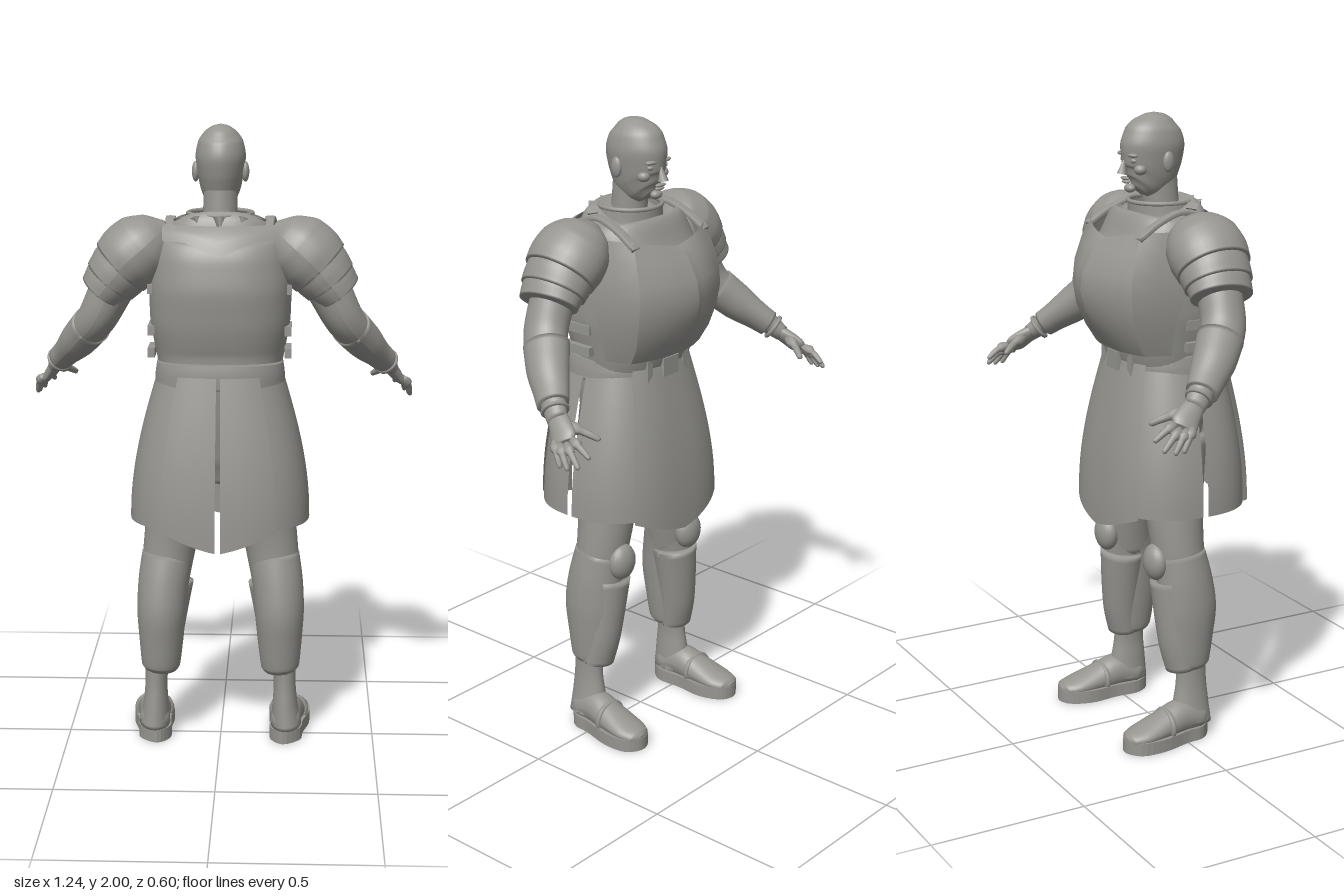
import * as THREE from 'three';

const grey = new THREE.MeshStandardMaterial({ color: 0x969590, side: THREE.DoubleSide });
grey.name = 'warm grey';
const X = new THREE.Vector3(1, 0, 0), Z = new THREE.Vector3(0, 0, 1);

function gridGeometry(pos, rows, cols, caps) {
  const idx = [];
  for (let i = 0; i < rows; i++) for (let j = 0; j < cols; j++) {
    const a = i * (cols + 1) + j, b = a + cols + 1;
    idx.push(a, a + 1, b + 1, a, b + 1, b);
  }
  if (caps) for (let j = 1; j < cols - 1; j++) {
    const e = rows * (cols + 1);
    idx.push(0, j + 1, j, e, e + j, e + j + 1);
  }
  const g = new THREE.BufferGeometry();
  g.setAttribute('position', new THREE.Float32BufferAttribute(pos, 3));
  g.setIndex(idx);
  g.computeVertexNormals();
  return g;
}

// Smooth sweep through sections [x, y, z, half size along ref, other half size]
function sweep(sections, { ref = X, power = 2, side = 1, cols = 32, steps = 6, caps = true } = {}) {
  const path = new THREE.CatmullRomCurve3(sections.map(p => new THREE.Vector3(p[0] * side, p[1], p[2])));
  const size = new THREE.CatmullRomCurve3(sections.map(p => new THREE.Vector3(p[3], p[4], 0)));
  const rows = (sections.length - 1) * steps, pos = [];
  const round = v => Math.sign(v) * Math.abs(v) ** (2 / power);
  for (let i = 0; i <= rows; i++) {
    const c = path.getPoint(i / rows), s = size.getPoint(i / rows), t = path.getTangent(i / rows);
    const u = ref.clone().addScaledVector(t, -t.dot(ref)).normalize();
    const v = t.clone().cross(u);
    for (let j = 0; j <= cols; j++) {
      const a = j / cols * Math.PI * 2;
      const p = c.clone().addScaledVector(u, s.x * round(Math.cos(a))).addScaledVector(v, s.y * round(Math.sin(a)));
      pos.push(p.x, p.y, p.z);
    }
  }
  return gridGeometry(pos, rows, cols, caps);
}

// Flared skirt panel between two angles in degrees (0 = +x, 90 = +z), bottom(k) gives the hem height
function skirtPanel(a0, a1, offset, bottom) {
  const pos = [], rows = 14, cols = 14;
  const round = v => Math.sign(v) * Math.abs(v) ** 0.8;
  for (let i = 0; i <= rows; i++) for (let j = 0; j <= cols; j++) {
    const v = i / rows, k = j / cols, a = THREE.MathUtils.degToRad(a0 + (a1 - a0) * k);
    const f = Math.sin(v * Math.PI / 2);
    pos.push((0.195 + 0.09 * f + offset) * round(Math.cos(a)),
      1.24 + (bottom(k) - 1.24) * v,
      0.055 - 0.005 * f + (0.162 + 0.07 * f + offset) * round(Math.sin(a)));
  }
  return gridGeometry(pos, rows, cols, false);
}

export function createModel() {
  const model = new THREE.Group();
  model.name = 'armouredFigure';
  const add = (name, geometry, x = 0, y = 0, z = 0) => {
    const m = new THREE.Mesh(geometry, grey);
    m.name = name;
    m.position.set(x, y, z);
    model.add(m);
    return m;
  };
  const ball = (name, x, y, z, sx, sy, sz) => add(name, new THREE.SphereGeometry(1, 20, 14), x, y, z).scale.set(sx, sy, sz);
  const box = (name, x, y, z, w, h, d) => add(name, new THREE.BoxGeometry(w, h, d), x, y, z);

  // Head, facing -z
  add('head', sweep([[0, 1.758, -0.03, 0.026, 0.032], [0, 1.775, -0.016, 0.048, 0.064], [0, 1.81, 0.004, 0.064, 0.088],
    [0, 1.85, 0.012, 0.072, 0.099], [0, 1.9, 0.016, 0.078, 0.105], [0, 1.95, 0.018, 0.069, 0.09],
    [0, 1.98, 0.02, 0.047, 0.06], [0, 1.995, 0.02, 0.024, 0.03], [0, 2, 0.02, 0.002, 0.002]]));
  add('neck', sweep([[0, 1.64, 0.05, 0.065, 0.068], [0, 1.72, 0.045, 0.054, 0.058], [0, 1.83, 0.035, 0.052, 0.06]]));
  const nose = add('nose', new THREE.ConeGeometry(0.017, 0.055, 8), 0, 1.843, -0.086);
  nose.rotation.x = 0.2;
  ball('upperLip', 0, 1.803, -0.081, 0.022, 0.006, 0.01);
  ball('lowerLip', 0, 1.792, -0.077, 0.019, 0.006, 0.01);
  ball('chin', 0, 1.771, -0.064, 0.022, 0.014, 0.016);
  for (const s of [-1, 1]) {
    ball('ear', s * 0.077, 1.855, 0.03, 0.012, 0.032, 0.019);
    ball('brow', s * 0.031, 1.876, -0.071, 0.025, 0.007, 0.014);
    ball('eye', s * 0.031, 1.859, -0.066, 0.014, 0.009, 0.012);
    ball('cheek', s * 0.043, 1.832, -0.05, 0.02, 0.017, 0.02);
  }

  // Torso with back plate
  add('torso', sweep([[0, 1.23, 0.045, 0.19, 0.15], [0, 1.3, 0.035, 0.203, 0.165], [0, 1.4, 0.035, 0.22, 0.185],
    [0, 1.5, 0.037, 0.222, 0.193], [0, 1.6, 0.043, 0.21, 0.175], [0, 1.66, 0.045, 0.19, 0.145],
    [0, 1.695, 0.05, 0.155, 0.11], [0, 1.71, 0.045, 0.09, 0.08]], { power: 2.5, cols: 48 }));

  // Keeled breastplate: [y, half width, corner z, keel z, top dip]
  const chest = [[1.66, 0.165, -0.115, -0.15, 0.035], [1.6, 0.18, -0.14, -0.19, 0], [1.53, 0.19, -0.16, -0.228, 0],
    [1.47, 0.192, -0.165, -0.24, 0], [1.4, 0.188, -0.155, -0.225, 0], [1.33, 0.175, -0.135, -0.182, 0], [1.275, 0.165, -0.105, -0.14, 0]];
  for (const s of [-1, 1]) {
    const front = [], flank = [];
    for (const [y, w, zc, zk, dip] of chest) {
      for (let j = 0; j <= 6; j++) {
        const k = j / 6;
        front.push(s * w * k, y - dip * (1 - k), zk + (zc - zk) * k - 0.012 * Math.sin(k * Math.PI));
      }
      flank.push(s * w, y, zc, s * (w + 0.026), y, zc + 0.065, s * (w + 0.03), y, 0.02);
    }
    if (s > 0) { add('breastplate', gridGeometry(front, 6, 6)); add('breastplateFlank', gridGeometry(flank, 6, 2)); }
    else for (const [n, p, c] of [['breastplate', front, 6], ['breastplateFlank', flank, 2]]) {
      const g = gridGeometry(p, 6, c);
      g.setIndex(Array.from(g.index.array).reverse());
      g.computeVertexNormals();
      add(n, g);
    }
    // Shoulder straps and side buckles
    add('shoulderStrap', sweep([[0.165, 1.64, -0.125, 0.016, 0.008], [0.16, 1.685, -0.05, 0.016, 0.008],
      [0.155, 1.71, 0.03, 0.016, 0.008], [0.15, 1.69, 0.11, 0.016, 0.008]], { side: s, power: 5, cols: 16 }));
    for (const y of [1.3, 1.37, 1.5]) box('sideBuckle', s * 0.213, y, 0.07, 0.022, 0.03, 0.11);
  }

  // Raised yoke on the upper back with a pointed lower edge
  const yoke = [];
  for (let i = 0; i <= 4; i++) for (let j = 0; j <= 24; j++) {
    const k = j / 12 - 1, x = 0.175 * k;
    const low = 1.61 + 0.045 * Math.min(1, Math.abs(k) * 1.6);
    const y = 1.7 + (low - 1.7) * i / 4;
    const depth = 0.165 + 0.062 * Math.sqrt((1.7 - y) / 0.09);
    yoke.push(x, y, depth - 0.05 * k * k);
  }
  add('backYoke', gridGeometry(yoke, 4, 24));

  // Collar with small points hanging from its rim
  add('collar', sweep([[0, 1.65, 0.045, 0.115, 0.105], [0, 1.69, 0.045, 0.108, 0.102], [0, 1.73, 0.043, 0.104, 0.1]], { caps: false }));
  const rim = add('collarRim', new THREE.TorusGeometry(0.1, 0.007, 8, 40), 0, 1.728, 0.043);
  rim.rotation.x = Math.PI / 2;
  for (let i = -2; i <= 2; i++) {
    const a = i * 0.55;
    const tooth = add('collarPoint', new THREE.ConeGeometry(0.024, 0.07, 4), Math.sin(a) * 0.122, 1.69, 0.043 + Math.cos(a) * 0.115);
    tooth.rotation.set(Math.PI - 0.45 * Math.cos(a), 0, 0.45 * Math.sin(a));
  }

  // Belt
  add('belt', sweep([[0, 1.2, 0.057, 0.205, 0.17], [0, 1.235, 0.057, 0.203, 0.172], [0, 1.268, 0.055, 0.198, 0.17]], { power: 2.4, cols: 48 }));
  box('beltBuckle', 0, 1.235, -0.118, 0.07, 0.06, 0.02);
  for (const s of [-1, 1]) box('beltLoop', s * 0.085, 1.235, -0.105, 0.025, 0.075, 0.02);

  // Skirt: side halves, pointed front, two split back tabs
  const hem = () => 0.765;
  for (const [a0, a1] of [[1, 70], [-56, -1], [110, 179], [181, 236]]) add('skirtSide', skirtPanel(a0, a1, 0, hem));
  add('skirtFront', skirtPanel(232, 308, 0.008, k => 0.7 + 0.06 * Math.abs(2 * k - 1)));
  add('backTab', skirtPanel(58, 89.3, 0.014, k => 0.76 - 0.06 * k));
  add('backTab', skirtPanel(90.7, 122, 0.014, k => 0.7 + 0.06 * k));
  add('hips', sweep([[0, 0.88, 0.03, 0.1, 0.09], [0, 0.96, 0.03, 0.18, 0.12], [0, 1.1, 0.04, 0.19, 0.14], [0, 1.22, 0.05, 0.185, 0.15]]));

  for (const s of [-1, 1]) {
    // Leg, knee guard and greave
    add('thigh', sweep([[0.115, 1, 0.03, 0.1, 0.105], [0.14, 0.8, 0.015, 0.096, 0.095], [0.165, 0.65, 0.015, 0.085, 0.085],
      [0.18, 0.54, 0.025, 0.078, 0.08]], { side: s }));
    add('calf', sweep([[0.172, 0.62, 0.018, 0.083, 0.083], [0.185, 0.53, 0.03, 0.082, 0.092], [0.191, 0.44, 0.038, 0.08, 0.097],
      [0.193, 0.34, 0.037, 0.072, 0.087], [0.195, 0.25, 0.037, 0.062, 0.072], [0.196, 0.235, 0.037, 0.052, 0.06]], { side: s }));
    add('greave', sweep([[0.168, 0.53, -0.005, 0.079, 0.07], [0.18, 0.42, -0.002, 0.07, 0.066], [0.19, 0.32, 0.003, 0.063, 0.06],
      [0.197, 0.235, 0.014, 0.058, 0.05]], { side: s }));
    ball('kneeGuard', s * 0.165, 0.6, -0.065, 0.052, 0.06, 0.036);
    add('ankle', sweep([[0.205, 0.3, 0.04, 0.042, 0.052], [0.21, 0.2, 0.042, 0.036, 0.052], [0.212, 0.12, 0.04, 0.041, 0.062],
      [0.216, 0.05, 0.035, 0.05, 0.075]], { side: s }));

    // Shoe and flat sole
    add('shoe', sweep([[0.213, 0.055, 0.095, 0.026, 0.025], [0.214, 0.065, 0.06, 0.048, 0.05], [0.218, 0.075, 0, 0.05, 0.058],
      [0.224, 0.062, -0.07, 0.056, 0.046], [0.23, 0.048, -0.15, 0.058, 0.03], [0.233, 0.042, -0.195, 0.042, 0.022],
      [0.233, 0.04, -0.21, 0.015, 0.01]], { side: s }));
    const strap = add('shoeStrap', new THREE.TorusGeometry(0.056, 0.009, 8, 28), s * 0.224, 0.062, -0.06);
    strap.scale.y = 0.85;
    const outline = [[0.205, -0.105], [0.165, -0.06], [0.166, 0.03], [0.162, 0.13], [0.195, 0.2], [0.24, 0.213],
      [0.285, 0.18], [0.293, 0.1], [0.27, 0], [0.262, -0.06]];
    const sole = new THREE.Shape().setFromPoints(new THREE.CatmullRomCurve3(
      outline.map(p => new THREE.Vector3(p[0] * s, p[1], 0)), true).getPoints(40).map(p => new THREE.Vector2(p.x, p.y)));
    add('sole', new THREE.ExtrudeGeometry(sole, { depth: 0.042, bevelEnabled: false })).rotation.x = -Math.PI / 2;

    // Layered shoulder guard
    const arm = { ref: Z, side: s };
    add('shoulderGuard', sweep([[0.165, 1.69, 0.05, 0.03, 0.02], [0.195, 1.665, 0.052, 0.09, 0.075], [0.235, 1.63, 0.055, 0.12, 0.108],
      [0.275, 1.595, 0.056, 0.126, 0.112], [0.31, 1.56, 0.056, 0.12, 0.104]], arm));
    add('shoulderBandUpper', sweep([[0.28, 1.595, 0.056, 0.11, 0.1], [0.315, 1.55, 0.055, 0.113, 0.098], [0.342, 1.517, 0.053, 0.11, 0.09]], arm));
    add('shoulderBandLower', sweep([[0.32, 1.55, 0.055, 0.1, 0.086], [0.345, 1.515, 0.052, 0.102, 0.084], [0.368, 1.485, 0.048, 0.1, 0.076]], arm));

    // Arm and bracer
    add('arm', sweep([[0.29, 1.58, 0.055, 0.075, 0.07], [0.345, 1.48, 0.055, 0.07, 0.068], [0.39, 1.395, 0.04, 0.07, 0.062],
      [0.455, 1.315, -0.03, 0.06, 0.053], [0.51, 1.255, -0.1, 0.042, 0.036], [0.545, 1.21, -0.15, 0.032, 0.025]], arm));
    add('bracer', sweep([[0.408, 1.37, 0.02, 0.073, 0.064], [0.455, 1.315, -0.03, 0.067, 0.059], [0.495, 1.27, -0.08, 0.056, 0.046],
      [0.52, 1.243, -0.11, 0.05, 0.042]], arm));
    const cuff = add('wristBand', new THREE.TorusGeometry(0.037, 0.007, 8, 24), s * 0.528, 1.232, -0.125);
    cuff.lookAt(s * 0.568, 1.18, -0.185);

    // Hand with spread fingers
    add('palm', sweep([[0.53, 1.225, -0.13, 0.028, 0.022], [0.55, 1.2, -0.165, 0.036, 0.021], [0.568, 1.175, -0.195, 0.041, 0.018],
      [0.578, 1.163, -0.208, 0.03, 0.013]], arm));
    const fingers = [[0.59, 1.165, -0.18, 0.615, 1.105, -0.225], [0.588, 1.16, -0.2, 0.613, 1.103, -0.252],
      [0.577, 1.163, -0.215, 0.6, 1.11, -0.282], [0.563, 1.175, -0.222, 0.568, 1.135, -0.295], [0.54, 1.2, -0.175, 0.492, 1.165, -0.265]];
    fingers.forEach(([x, y, z, X1, Y1, Z1], i) => {
      const r = i === 4 ? 0.0125 : 0.0105;
      add(i === 4 ? 'thumb' : 'finger', sweep([[x, y, z, r, r], [(x + X1) / 2 + 0.004, (y + Y1) / 2 + 0.006, (z + Z1) / 2, r, r],
        [X1, Y1, Z1, r * 0.7, r * 0.7], [X1 + (X1 - x) * 0.07, Y1 - 0.003, Z1 - 0.004, 0.002, 0.002]], { ref: X, side: s, cols: 12, steps: 4 }));
    });
  }
  return model;
}
